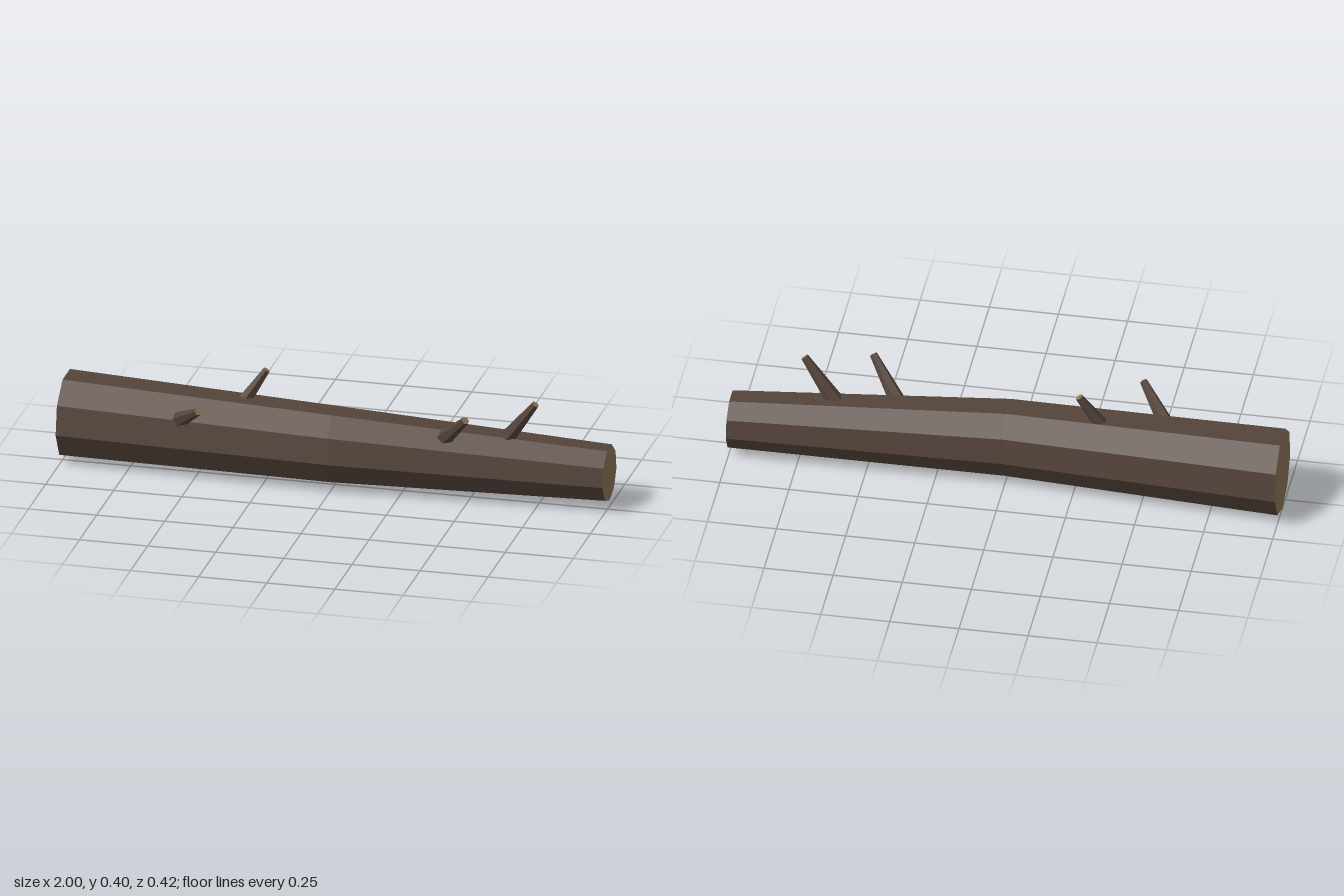
import * as THREE from 'three';

const bark = new THREE.MeshStandardMaterial({ color: 0x54443a });
bark.name = 'bark';
const cutWood = new THREE.MeshStandardMaterial({ color: 0x8b7355 });
cutWood.name = 'cut wood';

// Gives every face its own normal so the facets stay crisp
function faceted(geometry) {
  const flat = geometry.toNonIndexed();
  flat.computeVertexNormals();
  return flat;
}

// Nine-sided trunk along x, bent and tapered through three rings
function makeTrunk() {
  const rings = {
    '-1': { y: 0.158, z: -0.052, r: 0.158 },
    '0': { y: 0.15, z: 0, r: 0.14 },
    '1': { y: 0.126, z: -0.028, r: 0.104 },
  };
  const geometry = new THREE.CylinderGeometry(1, 1, 2, 9, 2, false, Math.PI / 2);
  geometry.rotateZ(-Math.PI / 2);
  const p = geometry.attributes.position;
  for (let i = 0; i < p.count; i++) {
    const x = Math.round(p.getX(i));
    const ring = rings[String(x + 0)];
    p.setXYZ(i, x, ring.y + p.getY(i) * ring.r, ring.z + p.getZ(i) * ring.r);
  }
  const trunk = new THREE.Mesh(faceted(geometry), [bark, cutWood, cutWood]);
  trunk.name = 'trunk';
  return trunk;
}

// Tapered six-sided branch stub with a pale cut tip, rooted inside the trunk
function makeBranch(base, tip, baseRadius, index) {
  const from = new THREE.Vector3(...base);
  const to = new THREE.Vector3(...tip);
  const direction = to.clone().sub(from).normalize();
  from.addScaledVector(direction, -0.03);
  const geometry = new THREE.CylinderGeometry(0.014, baseRadius, from.distanceTo(to), 6);
  const branch = new THREE.Mesh(faceted(geometry), [bark, cutWood, bark]);
  branch.quaternion.setFromUnitVectors(new THREE.Vector3(0, 1, 0), direction);
  branch.position.copy(from).add(to).multiplyScalar(0.5);
  branch.name = `branch${index + 1}`;
  return branch;
}

export function createModel() {
  const group = new THREE.Group();
  group.name = 'fallenLog';
  group.add(makeTrunk());

  // Base on the bark, tip, base radius
  const branches = [
    [[-0.535, 0.24, 0.1], [-0.452, 0.31, 0.2], 0.029],
    [[-0.335, 0.285, -0.042], [-0.265, 0.392, -0.056], 0.028],
    [[0.42, 0.24, 0.05], [0.515, 0.346, 0.144], 0.031],
    [[0.64, 0.248, 0.001], [0.743, 0.386, 0.028], 0.032],
  ];
  branches.forEach(([base, tip, radius], i) => group.add(makeBranch(base, tip, radius, i)));
  return group;
}
